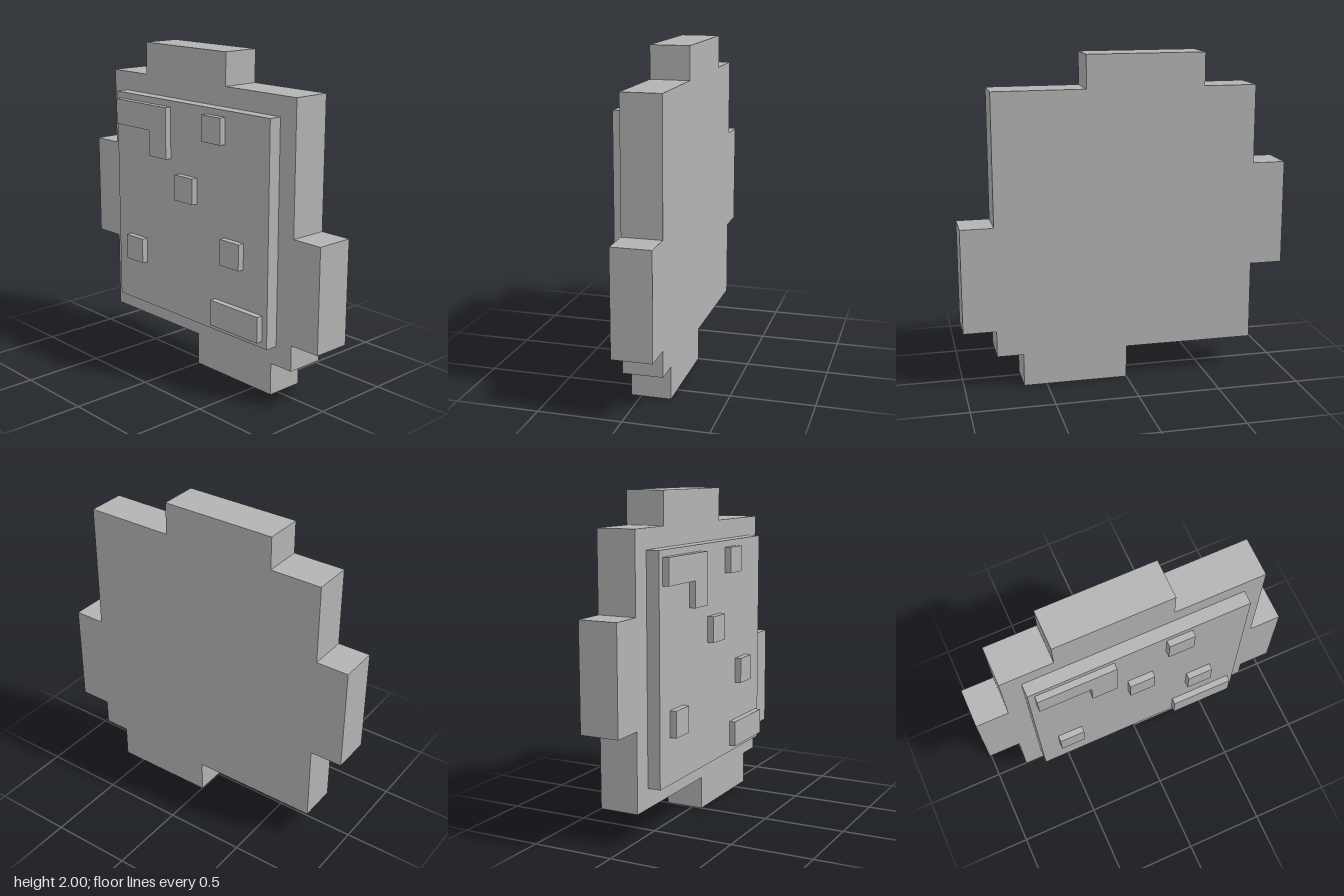
import * as THREE from 'three';

export function createModel() {
  const group = new THREE.Group();
  const gray = new THREE.MeshStandardMaterial({ color: 0xb3b3b3 });
  gray.name = 'gray';

  // Flat outline extruded from zBack to zFront
  function slab(name, points, zBack, zFront) {
    const shape = new THREE.Shape(points.map(([x, y]) => new THREE.Vector2(x, y)));
    const geometry = new THREE.ExtrudeGeometry(shape, { depth: zFront - zBack, bevelEnabled: false });
    geometry.translate(0, 0, zBack);
    const mesh = new THREE.Mesh(geometry, gray);
    mesh.name = name;
    group.add(mesh);
  }
  const rect = (x, y, w, h) => [[x, y], [x + w, y], [x + w, y + h], [x, y + h]];

  // Thick slab with one offset tab on each side
  slab('base', [
    [-0.8, 0.2], [0, 0.2], [0, 0], [0.64, 0], [0.64, 0.2], [0.8, 0.2],
    [0.8, 0.36], [1, 0.36], [1, 1], [0.8, 1], [0.8, 1.8],
    [0.24, 1.8], [0.24, 2], [-0.48, 2], [-0.48, 1.8], [-0.8, 1.8],
    [-0.8, 1.32], [-1, 1.32], [-1, 0.68], [-0.8, 0.68],
  ], -0.18, 0.06);

  // Raised square panel
  slab('frontPanel', rect(-0.68, 0.32, 1.36, 1.36), 0.06, 0.14);

  // Raised blocks on the panel
  slab('cornerBlock', [
    [-0.64, 1.48], [-0.32, 1.48], [-0.32, 1.32], [-0.16, 1.32], [-0.16, 1.64], [-0.64, 1.64],
  ], 0.14, 0.18);
  slab('barBlock', rect(0.24, 0.36, 0.4, 0.16), 0.14, 0.18);
  [[0.16, 1.48], [-0.08, 1.08], [0.32, 0.76], [-0.56, 0.6]].forEach(([x, y], i) =>
    slab(`squareBlock${i + 1}`, rect(x, y, 0.16, 0.16), 0.14, 0.18));

  return group;
}
